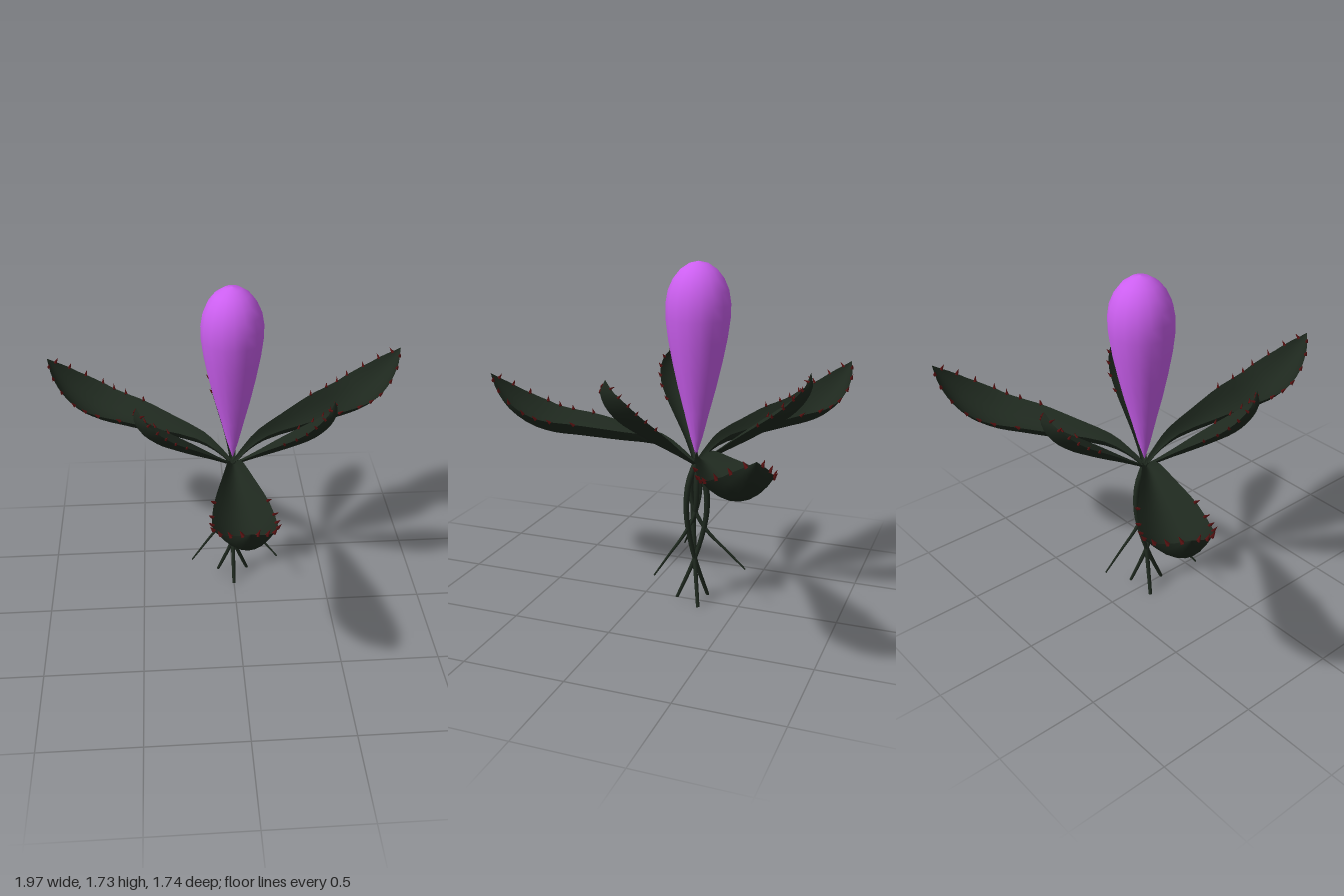
import * as THREE from 'three';
import { mergeGeometries } from 'three/addons/utils/BufferGeometryUtils.js';

const leafMat = new THREE.MeshStandardMaterial({ color: 0x1e281e, side: THREE.DoubleSide });
const rootMat = new THREE.MeshStandardMaterial({ color: 0x1e281e });
const spikeMat = new THREE.MeshStandardMaterial({ color: 0x5a1212 });
const budMat = new THREE.MeshStandardMaterial({ color: 0xcc5ff0 });

// Leaf stations from base to tip: [reach, height, half width, cup depth]
const LARGE = [
  [0, 0.72, 0.012, 0.01], [0.08, 0.775, 0.02, 0.02], [0.19, 0.81, 0.04, 0.045],
  [0.4, 0.815, 0.085, 0.068], [0.62, 0.82, 0.13, 0.085], [0.77, 0.823, 0.147, 0.09],
  [0.89, 0.85, 0.148, 0.09], [1.02, 0.925, 0.12, 0.075], [1.1, 1.02, 0.07, 0.04], [1.14, 1.1, 0, 0],
];
const SMALL = [
  [0, 0.72, 0.012, 0.01], [0.07, 0.765, 0.02, 0.015], [0.15, 0.815, 0.035, 0.025],
  [0.25, 0.875, 0.062, 0.04], [0.36, 0.945, 0.09, 0.05], [0.46, 1.015, 0.105, 0.055],
  [0.53, 1.09, 0.098, 0.05], [0.565, 1.17, 0.065, 0.03], [0.555, 1.24, 0, 0],
];

// Returns a function giving a point on the cupped leaf: u base to tip, v -1..1 across
function leafSurface(stations) {
  const keel = new THREE.CatmullRomCurve3(stations.map(s => new THREE.Vector3(0, s[1], s[0])));
  const size = new THREE.CatmullRomCurve3(stations.map(s => new THREE.Vector3(s[2], s[3], 0)));
  return (u, v) => {
    const p = keel.getPoint(u), t = keel.getTangent(u), s = size.getPoint(u);
    const lift = s.y * v * v;
    return new THREE.Vector3(s.x * v, p.y + t.z * lift, p.z - t.y * lift);
  };
}

function leafGeometry(surface, rows = 22, cols = 8) {
  const pos = [], index = [];
  for (let i = 0; i <= rows; i++) {
    for (let j = 0; j <= cols; j++) pos.push(...surface(i / rows, (j / cols) * 2 - 1).toArray());
  }
  for (let i = 0; i < rows; i++) {
    for (let j = 0; j < cols; j++) {
      const a = i * (cols + 1) + j, b = a + cols + 1;
      index.push(a, b, a + 1, b, b + 1, a + 1);
    }
  }
  const g = new THREE.BufferGeometry();
  g.setAttribute('position', new THREE.Float32BufferAttribute(pos, 3));
  g.setIndex(index);
  g.computeVertexNormals();
  return g;
}

// Small thorns along both edges, leaning outward and toward the tip
function spikeGeometry(surface, places, size) {
  const up = new THREE.Vector3(0, 1, 0), spikes = [];
  for (const u of places) {
    for (const side of [-1, 1]) {
      const p = surface(u, side);
      const out = p.clone().sub(surface(u, side * 0.8)).normalize();
      const along = surface(Math.min(u + 0.02, 1), side).sub(p).normalize();
      const dir = out.add(along.multiplyScalar(0.6)).normalize();
      const g = new THREE.ConeGeometry(size * 0.3, size, 4);
      g.translate(0, size * 0.3, 0);
      g.applyQuaternion(new THREE.Quaternion().setFromUnitVectors(up, dir));
      g.translate(p.x, p.y, p.z);
      spikes.push(g);
    }
  }
  return mergeGeometries(spikes);
}

// Tapered strand; points are [sideways offset, height]
function strandGeometry(points, r0, r1) {
  const path = new THREE.CatmullRomCurve3(points.map(([s, y]) => new THREE.Vector3(0, y, s)));
  const segs = 18, sides = 6;
  const g = new THREE.TubeGeometry(path, segs, 1, sides);
  const pos = g.attributes.position, v = new THREE.Vector3();
  for (let i = 0; i <= segs; i++) {
    const c = path.getPointAt(i / segs), r = r0 + (r1 - r0) * (i / segs);
    for (let j = 0; j <= sides; j++) {
      const k = i * (sides + 1) + j;
      v.fromBufferAttribute(pos, k).sub(c).multiplyScalar(r).add(c);
      pos.setXYZ(k, v.x, Math.max(v.y, 0), v.z);
    }
  }
  return g;
}

export function createModel() {
  const model = new THREE.Group();
  model.name = 'flower';
  const plant = new THREE.Group();
  plant.name = 'plant';
  plant.position.z = -0.265;
  model.add(plant);

  const add = (parent, name, geometry, material) => {
    const m = new THREE.Mesh(geometry, material);
    m.name = name;
    parent.add(m);
  };

  // Closed bud
  const profile = [
    [0, 0.77], [0.03, 0.87], [0.062, 1.0], [0.093, 1.12], [0.122, 1.25], [0.143, 1.36], [0.156, 1.46],
    [0.157, 1.53], [0.146, 1.595], [0.122, 1.65], [0.088, 1.693], [0.045, 1.722], [0, 1.732],
  ].map(([r, y]) => new THREE.Vector2(r, y));
  add(plant, 'bud', new THREE.LatheGeometry(profile, 16), budMat);

  // Two rings of three: leaves above, strands below
  const rings = [
    {
      size: 'large', turn: 0, stations: LARGE, spikes: [0.44, 0.53, 0.61, 0.69, 0.78, 0.87, 0.95], spike: 0.034,
      root: 'mainRoot', r0: 0.017, r1: 0.009,
      path: [[0, 0.74], [-0.045, 0.65], [-0.06, 0.56], [-0.058, 0.47], [-0.04, 0.37], [0, 0.23], [0.093, 0]],
    },
    {
      size: 'small', turn: Math.PI / 3, stations: SMALL, spikes: [0.5, 0.59, 0.68, 0.77, 0.86, 0.94], spike: 0.028,
      root: 'sideRoot', r0: 0.016, r1: 0.004,
      path: [[0, 0.74], [-0.025, 0.66], [-0.025, 0.57], [0, 0.48], [0.065, 0.385], [0.166, 0.297], [0.267, 0.208]],
    },
  ];
  for (const ring of rings) {
    const surface = leafSurface(ring.stations);
    const leaf = leafGeometry(surface);
    const thorns = spikeGeometry(surface, ring.spikes, ring.spike);
    const strand = strandGeometry(ring.path, ring.r0, ring.r1);
    for (let i = 0; i < 3; i++) {
      const arm = new THREE.Group();
      arm.name = ring.size + 'LeafGroup';
      arm.rotation.y = ring.turn + (i * Math.PI * 2) / 3;
      add(arm, ring.size + 'Leaf', leaf, leafMat);
      add(arm, 'leafSpikes', thorns, spikeMat);
      add(arm, ring.root, strand, rootMat);
      plant.add(arm);
    }
  }
  return model;
}
